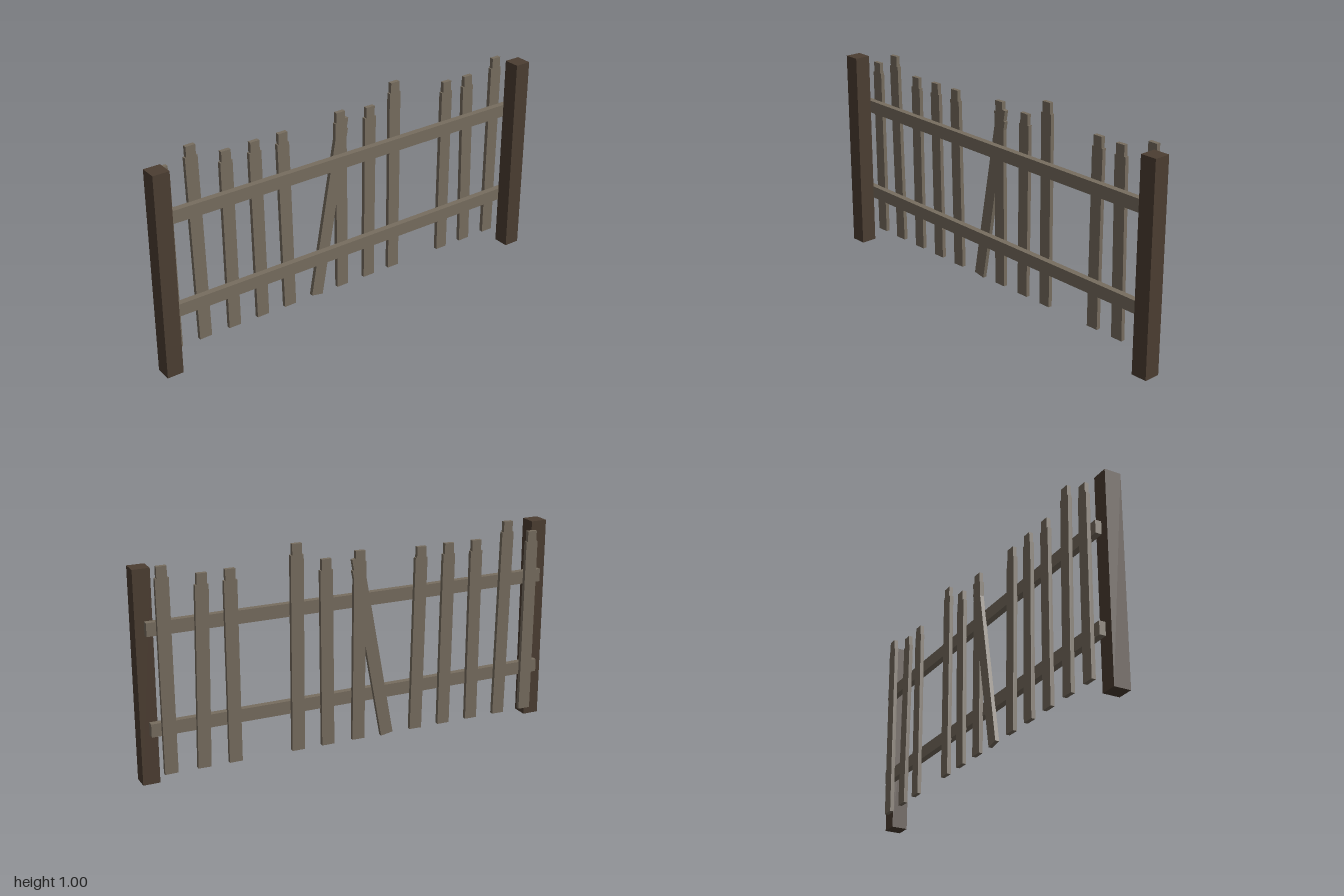
import * as THREE from 'three';

const darkWood = new THREE.MeshStandardMaterial({ name: 'darkWood', color: 0x4c3e32 });
const weatheredWood = new THREE.MeshStandardMaterial({ name: 'weatheredWood', color: 0x776d5f });

function box(name, material, [w, h, d], [x, y, z]) {
  const mesh = new THREE.Mesh(new THREE.BoxGeometry(w, h, d), material);
  mesh.name = name;
  mesh.position.set(x, y, z);
  return mesh;
}

// Flat board with a narrower stepped tip, standing on its bottom centre
function picketGeometry(length) {
  const half = 0.03, tip = 0.023, shoulder = length - 0.05;
  const outline = [
    [-half, 0], [half, 0], [half, shoulder], [tip, shoulder],
    [tip, length], [-tip, length], [-tip, shoulder], [-half, shoulder],
  ].map(([x, y]) => new THREE.Vector2(x, y));
  return new THREE.ExtrudeGeometry(new THREE.Shape(outline), { depth: 0.019, bevelEnabled: false });
}

export function createModel() {
  const fence = new THREE.Group();
  fence.name = 'picketFence';

  // Corner posts
  for (const side of [-1, 1]) {
    fence.add(box(side > 0 ? 'leftPost' : 'rightPost', darkWood,
      [0.077, 0.963, 0.077], [side * 0.9615, 0.4815, 0.0235]));
  }

  // Horizontal rails behind the posts
  fence.add(box('lowerRail', weatheredWood, [1.92, 0.06, 0.03], [0, 0.257, -0.029]));
  fence.add(box('upperRail', weatheredWood, [1.92, 0.06, 0.03], [0, 0.707, -0.029]));

  // Uneven pickets: bottom x, top x, top height (one has slipped and leans)
  const pickets = [
    [-0.892, -0.898, 0.930], [-0.745, -0.766, 0.990], [-0.595, -0.601, 0.920],
    [-0.446, -0.459, 0.922], [-0.299, -0.318, 0.922], [-0.150, 0.004, 0.905],
    [-0.005, -0.014, 0.938], [0.146, 0.149, 0.920], [0.291, 0.286, 1.004],
    [0.589, 0.591, 0.930], [0.734, 0.717, 0.927], [0.884, 0.889, 0.977],
  ];
  pickets.forEach(([x0, x1, top], i) => {
    const bottom = 0.053;
    const picket = new THREE.Mesh(
      picketGeometry(Math.hypot(x1 - x0, top - bottom)), weatheredWood);
    picket.name = `picket${i + 1}`;
    picket.position.set(x0, bottom, -0.062);
    picket.rotation.z = -Math.atan2(x1 - x0, top - bottom);
    fence.add(picket);
  });

  return fence;
}
